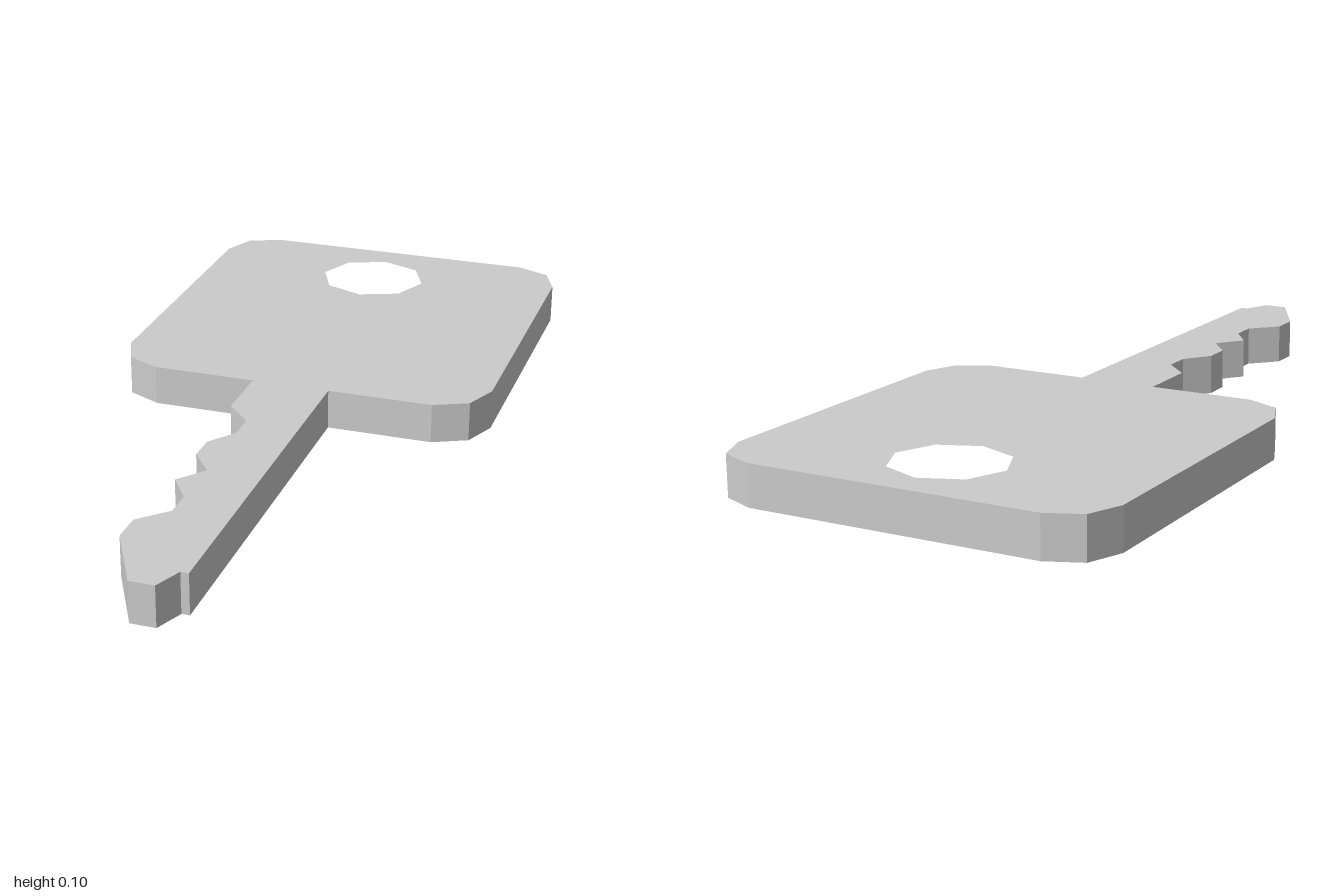
import * as THREE from 'three';

const THICKNESS = 0.1;

// Plan points are [x, z]; the shape is drawn with z negated, then laid flat.
const toVectors = (points) => points.map(([x, z]) => new THREE.Vector2(x, -z));

// Right half of the head with bevelled corners, from the back edge to the blade
const headSide = [
  [0.36, -1], [0.445, -0.965], [0.48, -0.88],
  [0.48, -0.14], [0.445, -0.055], [0.36, -0.015],
];

// Straight edge of the blade, its tip, then the cut teeth back up to the head
const blade = [
  [0.097, -0.015], [0.097, 0.932], [0.078, 0.932], [0.05, 1], [-0.01, 1],
  [-0.1, 0.83], [-0.1, 0.755], [-0.036, 0.69], [-0.036, 0.62],
  [-0.085, 0.55], [-0.032, 0.485], [-0.085, 0.417], [-0.085, 0.347],
  [-0.036, 0.28], [-0.036, 0.21], [-0.1, 0.145], [-0.1, -0.015],
];

// Eight-sided hole for the key ring
function ringHole(cx, cz, rx, rz) {
  const points = [];
  for (let i = 0; i < 8; i++) {
    const a = (i / 8) * Math.PI * 2;
    points.push([cx + rx * Math.cos(a), cz + rz * Math.sin(a)]);
  }
  return new THREE.Path(toVectors(points));
}

export function createModel() {
  const group = new THREE.Group();
  group.name = 'key';

  // Head and blade are one continuous plate
  const mirrored = headSide.map(([x, z]) => [-x, z]).reverse();
  const outline = new THREE.Shape(toVectors([...headSide, ...blade, ...mirrored]));
  outline.holes.push(ringHole(-0.014, -0.788, 0.141, 0.133));

  const geometry = new THREE.ExtrudeGeometry(outline, { depth: THICKNESS, bevelEnabled: false });
  geometry.rotateX(-Math.PI / 2);

  const material = new THREE.MeshStandardMaterial({ color: 0xcccccc, flatShading: true });
  const plate = new THREE.Mesh(geometry, material);
  plate.name = 'headAndBlade';
  group.add(plate);
  return group;
}
